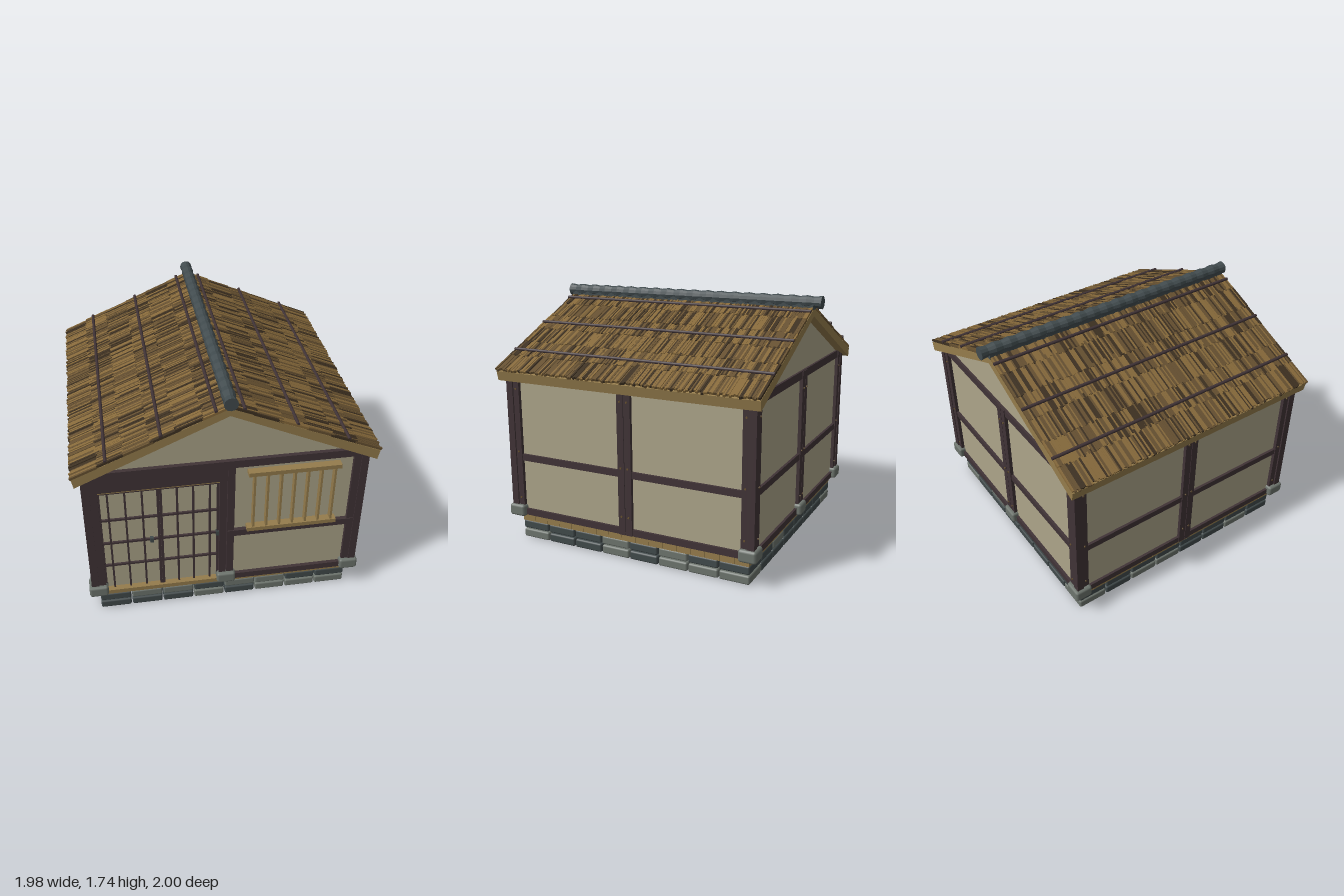
import * as THREE from 'three';
import { mergeGeometries } from 'three/addons/utils/BufferGeometryUtils.js';
import { RoundedBoxGeometry } from 'three/addons/geometries/RoundedBoxGeometry.js';

const material = (name, color, flat = false) =>
  Object.assign(new THREE.MeshStandardMaterial({ color }), { name, flatShading: flat });

export function createModel() {
  const model = new THREE.Group();
  model.name = 'cottage';
  const M = {
    plaster: material('plaster', 0xaca489),
    timber: material('dark timber', 0x403336),
    wood: material('pale wood', 0x957c4c),
    slate: material('slate', 0x414b4e, true),
    stone: material('grey stone', 0x6d746d),
    darkStone: material('dark stone', 0x414a4b),
    straw: material('straw', 0x86693a),
    brownStraw: material('brown straw', 0x665030),
    darkStraw: material('dark straw', 0x3d3020),
  };

  let seed = 7;
  const rand = () => (seed = (seed * 16807) % 2147483647) / 2147483647;

  const box = (w, h, d, x, y, z) => new THREE.BoxGeometry(w, h, d).translate(x, y, z);
  const block = (w, h, d, r, x, y, z) => new RoundedBoxGeometry(w, h, d, 1, r).translate(x, y, z);
  const add = (parent, name, mat, geos) => {
    const mesh = new THREE.Mesh(mergeGeometries(geos), mat);
    mesh.name = name;
    parent.add(mesh);
    return mesh;
  };
  const group = (name, parent = model) => {
    const g = new THREE.Group();
    g.name = name;
    parent.add(g);
    return g;
  };

  const house = group('house');
  house.position.z = 0.018;

  // Two courses of foundation stones
  const light = [], dark = [];
  for (let row = 0; row < 2; row++)
    for (let i = 0; i < 8; i++)
      for (let j = 0; j < 8; j++)
        (rand() < 0.42 ? light : dark).push(
          block(0.212, 0.061, 0.212, 0.012, (i - 3.5) * 0.22, 0.031 + row * 0.068, (j - 3.5) * 0.22));
  add(house, 'lightFoundationStones', M.stone, light);
  add(house, 'darkFoundationStones', M.darkStone, dark);

  // Floor planks
  const planks = [];
  for (let i = 0; i < 17; i++) planks.push(box(1.76, 0.062, 0.1, 0, 0.161, (i - 8) * 0.103));
  add(house, 'floorPlanks', M.wood, planks);

  // Corner posts and the stones beneath the posts
  const corners = [], feet = [];
  for (const sz of [-1, 1]) {
    for (const sx of [-1, 1]) corners.push(box(0.05, 1.04, 0.05, sx * 0.902, 0.71, sz * 0.898));
    for (const x of [-0.88, 0, 0.88]) feet.push(block(0.13, 0.085, 0.125, 0.018, x, 0.223, sz * 0.88));
  }
  add(house, 'cornerPosts', M.timber, corners);
  add(house, 'postStones', M.stone, feet);

  // Posts shared by every wall: a doubled centre post and two jambs
  const posts = () => [-0.853, -0.026, 0.026, 0.853].map(x => box(0.048, 1.04, 0.07, x, 0.71, 0.882));

  // Plain timber framed walls
  for (const [name, turn] of [['leftWall', 1], ['backWall', 2], ['rightWall', 3]]) {
    const wall = group(name, house);
    wall.rotation.y = turn * Math.PI / 2;
    add(wall, 'plasterPanel', M.plaster, [box(1.76, 1.03, 0.03, 0, 0.705, 0.878)]);
    add(wall, 'framePosts', M.timber, posts());
    add(wall, 'frameBeams', M.timber, [[0.213, 0.046], [0.618, 0.046], [1.206, 0.056]]
      .map(([y, h]) => box(1.74, h, 0.05, 0, y, 0.886)));
    const pegs = [];
    for (const x of [-0.853, -0.026, 0.026, 0.853])
      for (const y of [0.32, 0.66, 1.11])
        pegs.push(new THREE.CylinderGeometry(0.007, 0.007, 0.008, 8).rotateX(Math.PI / 2).translate(x, y, 0.919));
    add(wall, 'pegs', M.brownStraw, pegs);
  }

  // Front wall: door bay and window bay
  const front = group('frontWall', house);
  add(front, 'plasterPanel', M.plaster, [box(0.86, 0.98, 0.03, 0.44, 0.69, 0.878)]);
  add(front, 'framePosts', M.timber, posts());
  add(front, 'frameBeams', M.timber, [
    box(0.87, 0.046, 0.06, 0.44, 0.213, 0.888),
    box(0.87, 0.048, 0.07, 0.44, 0.622, 0.888),
    box(0.88, 0.055, 0.07, 0.44, 1.207, 0.888),
    box(0.88, 0.155, 0.07, -0.44, 1.157, 0.888)]);

  // Sliding doors
  const door = group('slidingDoors', front);
  add(door, 'doorPaper', M.plaster, [box(0.8, 0.88, 0.01, -0.44, 0.64, 0.874)]);
  add(door, 'doorTracks', M.wood, [
    box(0.78, 0.02, 0.06, -0.44, 0.202, 0.89), box(0.78, 0.018, 0.05, -0.44, 1.071, 0.885)]);
  const bars = [-0.825, -0.77, -0.66, -0.55, -0.325, -0.22, -0.11, -0.058]
    .map(x => box(0.013, 0.84, 0.02, x, 0.63, 0.886));
  for (const x of [-0.449, -0.431]) bars.push(box(0.016, 0.85, 0.03, x, 0.635, 0.888));
  for (const y of [0.42, 0.62, 0.82, 1.048]) bars.push(box(0.78, 0.014, 0.018, -0.44, y, 0.885));
  add(door, 'doorLattice', M.timber, bars);
  add(door, 'doorHandles', M.darkStone, [-0.5, -0.058].map(x => box(0.024, 0.036, 0.025, x, 0.62, 0.892)));

  // Barred window
  const win = group('window', front);
  add(win, 'windowRails', M.wood, [0.663, 1.125].map(y => box(0.61, 0.03, 0.055, 0.437, y, 0.918)));
  const slats = [];
  for (let i = 0; i < 7; i++) slats.push(box(0.014, 0.45, 0.045, 0.175 + i * 0.0885, 0.894, 0.915));
  add(win, 'windowSlats', M.wood, slats);

  // Gables and the wooden roof deck
  const extrude = (points, depth) => new THREE.ExtrudeGeometry(
    new THREE.Shape(points.map(p => new THREE.Vector2(...p))), { depth, bevelEnabled: false });
  const gable = extrude([[-0.89, 1.215], [0.89, 1.215], [0, 1.62]], 0.03);
  add(house, 'gables', M.plaster, [gable.clone().translate(0, 0, 0.865), gable.clone().translate(0, 0, -0.895)]);
  const roof = group('roof');
  add(roof, 'roofDeck', M.wood, [extrude([
    [-0.963, 1.17], [0, 1.605], [0.963, 1.17], [0.976, 1.235], [0, 1.66], [-0.976, 1.235]], 1.92)
    .translate(0, 0, -0.943)]);

  // Thatch laid as overlapping courses of loose reeds
  const pitch = 0.436, angle = Math.atan(pitch), roofY = x => 1.668 - pitch * Math.abs(x);
  const reeds = [[], [], []];
  for (const s of [-1, 1])
    for (let course = 0; course < 6; course++)
      for (let i = 0; i < 148; i++) {
        const inner = Math.max(0, course * 0.163 - 0.03 * rand());
        const outer = (course + 1) * 0.163 - 0.008 + 0.016 * rand();
        const mid = (inner + outer) / 2, pick = rand();
        reeds[pick < 0.4 ? 0 : pick < 0.77 ? 1 : 2].push(
          new THREE.BoxGeometry((outer - inner) / Math.cos(angle), 0.016, 0.0145)
            .rotateZ(-s * (angle - 0.015))
            .translate(s * mid, roofY(mid) + 0.001 + 0.007 * rand(), -0.936 + i * 0.013));
      }
  ['straw', 'brownStraw', 'darkStraw'].forEach((m, i) => add(roof, m + 'Thatch', M[m], reeds[i]));

  // Poles holding the thatch down
  const poles = [];
  for (const s of [-1, 1])
    for (const x of [0.087, 0.42, 0.76])
      poles.push(new THREE.CylinderGeometry(0.011, 0.011, 1.93, 8).rotateX(Math.PI / 2)
        .translate(s * x, roofY(x) + 0.018, 0.017));
  add(roof, 'thatchPoles', M.timber, poles);

  // Ridge tiles: a rippled round capping
  const profile = [new THREE.Vector2(0, -1)];
  for (let i = 0; i <= 76; i++)
    profile.push(new THREE.Vector2(0.041 + 0.004 * Math.cos(i / 4 * Math.PI * 2), -1 + i * 2 / 76));
  profile.push(new THREE.Vector2(0, 1));
  add(roof, 'ridgeTiles', M.slate, [
    new THREE.LatheGeometry(profile, 12).rotateX(Math.PI / 2).translate(0, 1.7, 0),
    box(0.07, 0.04, 1.92, 0, 1.67, 0.015)]);

  return model;
}
